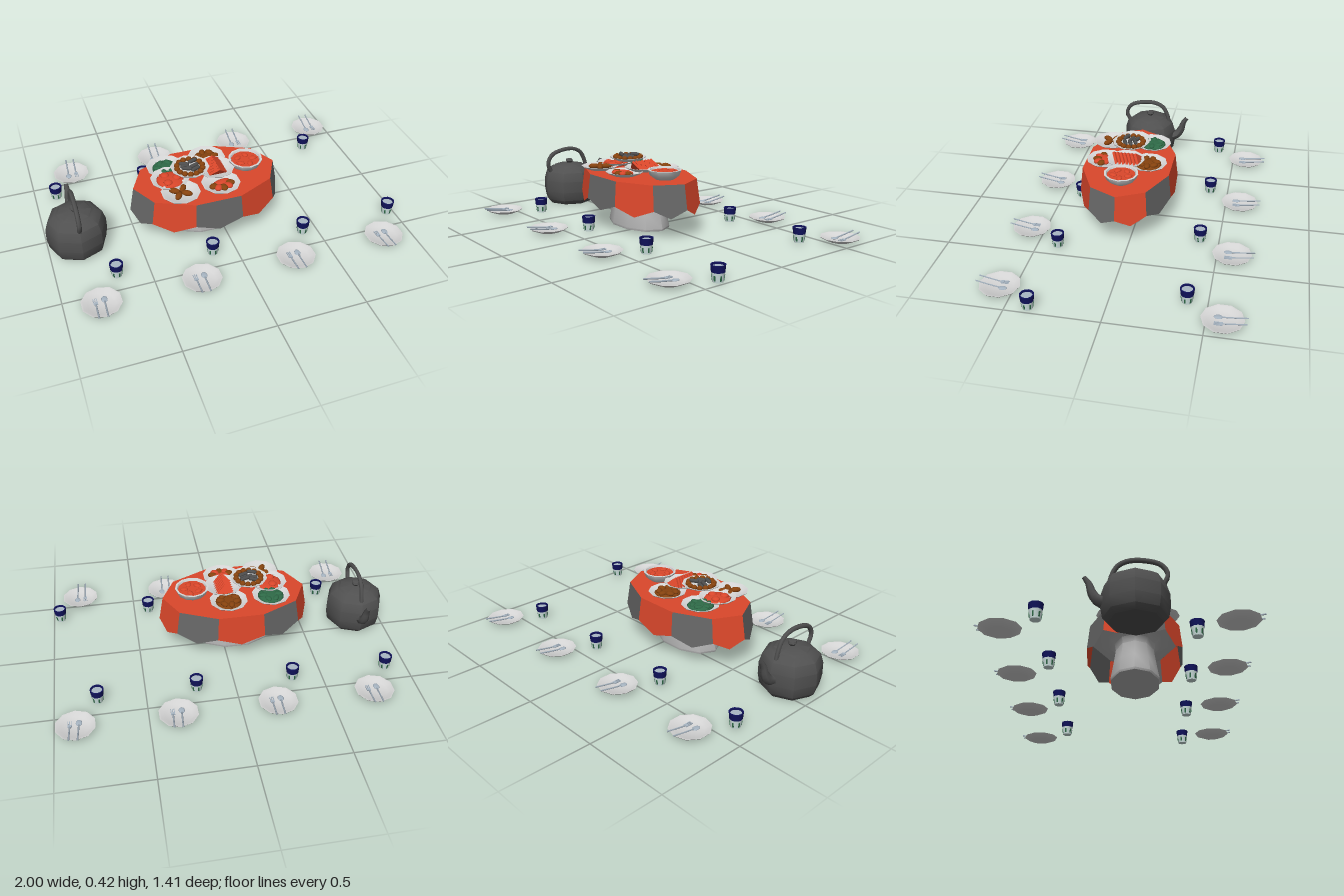
import * as THREE from 'three';
import { toCreasedNormals } from 'three/addons/utils/BufferGeometryUtils.js';

const mat = (name, color, side = THREE.FrontSide) => {
  const m = new THREE.MeshStandardMaterial({ color, side });
  m.name = name;
  return m;
};

export function createModel() {
  const red = mat('red', 0xdb472b, THREE.DoubleSide);
  const clothGrey = mat('cloth grey', 0x666666, THREE.DoubleSide);
  const iron = mat('iron grey', 0x505050);
  const china = mat('china white', 0xd6d6d6);
  const stone = mat('pedestal grey', 0xb4b4b4, THREE.DoubleSide);
  const steel = mat('steel', 0xa9b7c4);
  const navy = mat('navy', 0x10125c);
  const pale = mat('pale cup', 0xcfe2e0);
  const brown = mat('brown', 0x87430f);
  const green = mat('green', 0x2f6b48);

  const root = new THREE.Group();
  const group = (parent, name, x = 0, y = 0, z = 0) => {
    const g = new THREE.Group();
    g.name = name;
    g.position.set(x, y, z);
    parent.add(g);
    return g;
  };
  const add = (parent, name, geo, material, x = 0, y = 0, z = 0) => {
    const m = new THREE.Mesh(geo, material);
    m.name = name;
    m.position.set(x, y, z);
    parent.add(m);
    return m;
  };
  const lathe = (pts, n, start = 0) => toCreasedNormals(
    new THREE.LatheGeometry(pts.map(p => new THREE.Vector2(...p)), n, start), 0.8);
  const V = (x, y, z) => new THREE.Vector3(x, y, z);
  const tube = (pts, r, n = 5, steps = 12) =>
    new THREE.TubeGeometry(new THREE.CatmullRomCurve3(pts.map(p => V(...p))), steps, r, n);
  const ball = new THREE.IcosahedronGeometry(1, 1);
  const blob = (parent, name, m, x, y, z, sx, sy, sz, turn = 0) => {
    const b = add(parent, name, ball, m, x, y, z);
    b.scale.set(sx, sy, sz);
    b.rotation.y = turn;
    return b;
  };

  // Table: decagon top, alternating pointed cloth panels, flared pedestal
  const table = group(root, 'table', -0.075, 0, 0.07);
  const squash = 0.636;
  const at = (k, r, y) => {
    const a = k * Math.PI / 5;
    return V(Math.cos(a) * r, y, Math.sin(a) * r * squash);
  };
  const top = add(table, 'tableTop', new THREE.CircleGeometry(0.4175, 10).rotateX(-Math.PI / 2), red, 0, 0.315);
  top.scale.z = squash;
  for (let k = 0; k < 10; k++) {
    const tip = at(k, 0.45, 0.13).add(at(k + 1, 0.45, 0.13)).multiplyScalar(0.5);
    const g = new THREE.BufferGeometry().setFromPoints([
      at(k, 0.4175, 0.315), at(k + 1, 0.4175, 0.315), at(k + 1, 0.442, 0.175), tip, at(k, 0.442, 0.175)]);
    g.setIndex([0, 1, 2, 0, 2, 3, 0, 3, 4]);
    g.computeVertexNormals();
    add(table, 'clothPanel', g, k % 2 ? red : clothGrey);
  }
  const pedestal = add(table, 'pedestal', lathe([[0, 0.008], [0.222, 0.008], [0.226, 0.02], [0.2, 0.11],
    [0.178, 0.2], [0.19, 0.235], [0.25, 0.275], [0.41, 0.31]], 10, Math.PI / 2), stone);
  pedestal.scale.z = squash;

  // Kettle with lid, arched handle and curved tapering spout
  const kettle = group(root, 'kettle', -0.83, 0, 0.08);
  add(kettle, 'kettleBody', lathe([[0, 0.008], [0.135, 0.008], [0.16, 0.035], [0.17, 0.09], [0.169, 0.16],
    [0.152, 0.215], [0.115, 0.242], [0.1, 0.246], [0.095, 0.252], [0.03, 0.262], [0, 0.264]], 8), iron);
  add(kettle, 'lidKnob', lathe([[0, 0.255], [0.012, 0.258], [0.024, 0.275], [0.02, 0.287], [0, 0.29]], 8), iron);
  add(kettle, 'kettleHandle', tube([[0, 0.21, 0.135], [0, 0.27, 0.16], [0, 0.325, 0.13], [0, 0.35, 0.06],
    [0, 0.352, -0.03], [0, 0.325, -0.085], [0, 0.27, -0.115], [0, 0.21, -0.13]], 0.013, 6, 20), iron);
  const path = new THREE.CatmullRomCurve3([V(0, 0.12, -0.13), V(0, 0.13, -0.18), V(0, 0.17, -0.21),
    V(0, 0.22, -0.225), V(0, 0.26, -0.25)]);
  const spout = new THREE.TubeGeometry(path, 10, 1, 7);
  const p = spout.attributes.position;
  for (let i = 0; i < p.count; i++) {
    const t = Math.floor(i / 8) / 10;
    const c = path.getPointAt(t);
    const v = V().fromBufferAttribute(p, i).sub(c).multiplyScalar(0.036 - 0.024 * t).add(c);
    p.setXYZ(i, v.x, v.y, v.z);
  }
  spout.computeVertexNormals();
  add(kettle, 'spout', spout, iron);

  // Shared crockery
  const plateGeo = lathe([[0, 0.005], [0.062, 0.005], [0.106, 0.024], [0.11, 0.029], [0.1, 0.028],
    [0.076, 0.015], [0, 0.014]], 10);
  const bandGeo = lathe([[0.0345, 0.054], [0.038, 0.09], [0.031, 0.09], [0.03, 0.07]], 12);
  const cupGeo = lathe([[0, 0.005], [0.027, 0.005], [0.034, 0.056], [0.03, 0.056]], 12);

  // Place settings: four on each long side, the far row turned half round
  for (const [row, firstX, z, turn] of [['front', -0.805, 0.575, 0], ['back', -0.75, -0.583, Math.PI]]) {
    for (let i = 0; i < 4; i++) {
      const s = group(root, row + 'Setting', firstX + i * 0.546, 0, z);
      s.rotation.y = turn;
      add(s, 'plate', plateGeo, china);
      // Spoon and fork sloping up towards the diner
      add(s, 'spoonHandle', tube([[0.018, 0.021, -0.01], [0.014, 0.03, 0.06], [0.01, 0.041, 0.125]], 0.0045, 4, 4), steel);
      blob(s, 'spoonBowl', steel, 0.019, 0.02, -0.022, 0.017, 0.004, 0.024);
      add(s, 'forkHandle', tube([[-0.03, 0.021, 0], [-0.033, 0.03, 0.06], [-0.036, 0.041, 0.122]], 0.0045, 4, 4), steel);
      add(s, 'forkHead', new THREE.BoxGeometry(0.022, 0.005, 0.016), steel, -0.03, 0.02, -0.005);
      for (const dx of [-0.009, 0, 0.009])
        add(s, 'forkTine', new THREE.BoxGeometry(0.004, 0.005, 0.028), steel, -0.03 + dx, 0.02, -0.026);
      // Cup with navy band, green leaves and drink
      const cup = group(s, 'cup', 0.125, 0, -0.191);
      add(cup, 'cupBody', cupGeo, pale);
      add(cup, 'cupBand', bandGeo, navy);
      add(cup, 'drink', new THREE.CircleGeometry(0.0305, 12).rotateX(-Math.PI / 2), steel, 0, 0.08);
      for (let k = 0; k < 6; k++) {
        const a = k * Math.PI / 3 + 0.26;
        const leaf = add(cup, 'cupLeaf', new THREE.BoxGeometry(0.008, 0.027, 0.003), green,
          Math.sin(a) * 0.0298, 0.027, Math.cos(a) * 0.0298);
        leaf.rotation.set(0.13, a, 0, 'YXZ');
      }
    }
  }

  // Dishes on the table
  const dish = (name, x, y, z) => {
    const g = group(root, name, x, y, z);
    add(g, 'servingPlate', plateGeo, china);
    return g;
  };
  const mound = (g, name, m, r, h) => blob(g, name, m, 0, 0.014, 0, r, h, r);
  const ring = (n, r, fn, start = 0) => {
    for (let i = 0; i < n; i++) {
      const a = start + i * 2 * Math.PI / n;
      fn(Math.cos(a) * r, Math.sin(a) * r, a);
    }
  };

  const salad = dish('saladDish', -0.275, 0.317, -0.035);
  mound(salad, 'greens', green, 0.078, 0.018);
  ring(6, 0.045, (x, z, a) => blob(salad, 'leaf', green, x, 0.026, z, 0.026, 0.01, 0.016, a));

  const stew = dish('stewDish', -0.025, 0.317, -0.05);
  mound(stew, 'stew', brown, 0.078, 0.016);
  ring(7, 0.048, (x, z, a) => blob(stew, 'meat', brown, x, 0.028, z, 0.026, 0.013, 0.018, a));

  const soup = dish('sauceDish', -0.285, 0.325, 0.09);
  mound(soup, 'sauce', red, 0.08, 0.016);
  ring(3, 0.04, (x, z) => blob(soup, 'dumpling', red, x, 0.026, z, 0.025, 0.014, 0.025));

  const pastry = dish('pastryDish', -0.26, 0.317, 0.215);
  ring(4, 0.036, (x, z, a) => blob(pastry, 'pastry', brown, x, 0.025, z, 0.033, 0.016, 0.018, -a), 0.6);

  const roast = dish('roastDish', -0.025, 0.317, 0.205);
  for (let i = 0; i < 5; i++) {
    const a = 0.3 + i * 0.6;
    blob(roast, 'roastSlice', i % 2 ? red : brown, Math.cos(a) * 0.052, 0.024, Math.sin(a) * 0.045, 0.028, 0.014, 0.022, -a);
  }
  blob(roast, 'roast', red, 0, 0.022, 0, 0.06, 0.016, 0.025, 0.3);

  // Leaning triangular slices
  const slices = dish('sliceDish', -0.015, 0.332, 0.08);
  const tri = new THREE.Shape([[-0.052, 0], [0.052, 0], [0, 0.055]].map(q => new THREE.Vector2(...q)));
  const triGeo = new THREE.ExtrudeGeometry(tri, { depth: 0.014, bevelEnabled: false });
  for (let i = 0; i < 7; i++)
    add(slices, 'slice', triGeo, red, 0, 0.022, -0.085 + i * 0.021).rotation.x = 0.55;

  // Raised centre dish: ring of meatballs around grilled rolls
  const grill = dish('centreDish', -0.165, 0.37, 0.08);
  ring(14, 0.073, (x, z) => blob(grill, 'meatball', brown, x, 0.027, z, 0.017, 0.015, 0.017));
  for (let i = 0; i < 6; i++) {
    const roll = add(grill, 'grilledRoll', new THREE.CapsuleGeometry(0.012, 0.035, 3, 6), iron,
      (i % 2 - 0.5) * 0.05, 0.03 + (i % 3 === 1 ? 0.012 : 0), (Math.floor(i / 2) - 1) * 0.03);
    roll.rotation.set(0, i % 2 ? 0.4 : -0.4, Math.PI / 2);
  }

  // Deep soup bowl
  const bowl = group(root, 'soupBowl', 0.17, 0.316, 0.07);
  add(bowl, 'bowl', lathe([[0, 0.002], [0.055, 0.002], [0.085, 0.025], [0.096, 0.052], [0.098, 0.056],
    [0.086, 0.056], [0.078, 0.036], [0, 0.034]], 12), china);
  add(bowl, 'soup', new THREE.CircleGeometry(0.082, 12).rotateX(-Math.PI / 2), red, 0, 0.045);
  ring(5, 0.045, (x, z, a) => blob(bowl, 'soupPiece', red, x, 0.046, z, 0.024, 0.009, 0.016, a));

  return root;
}
